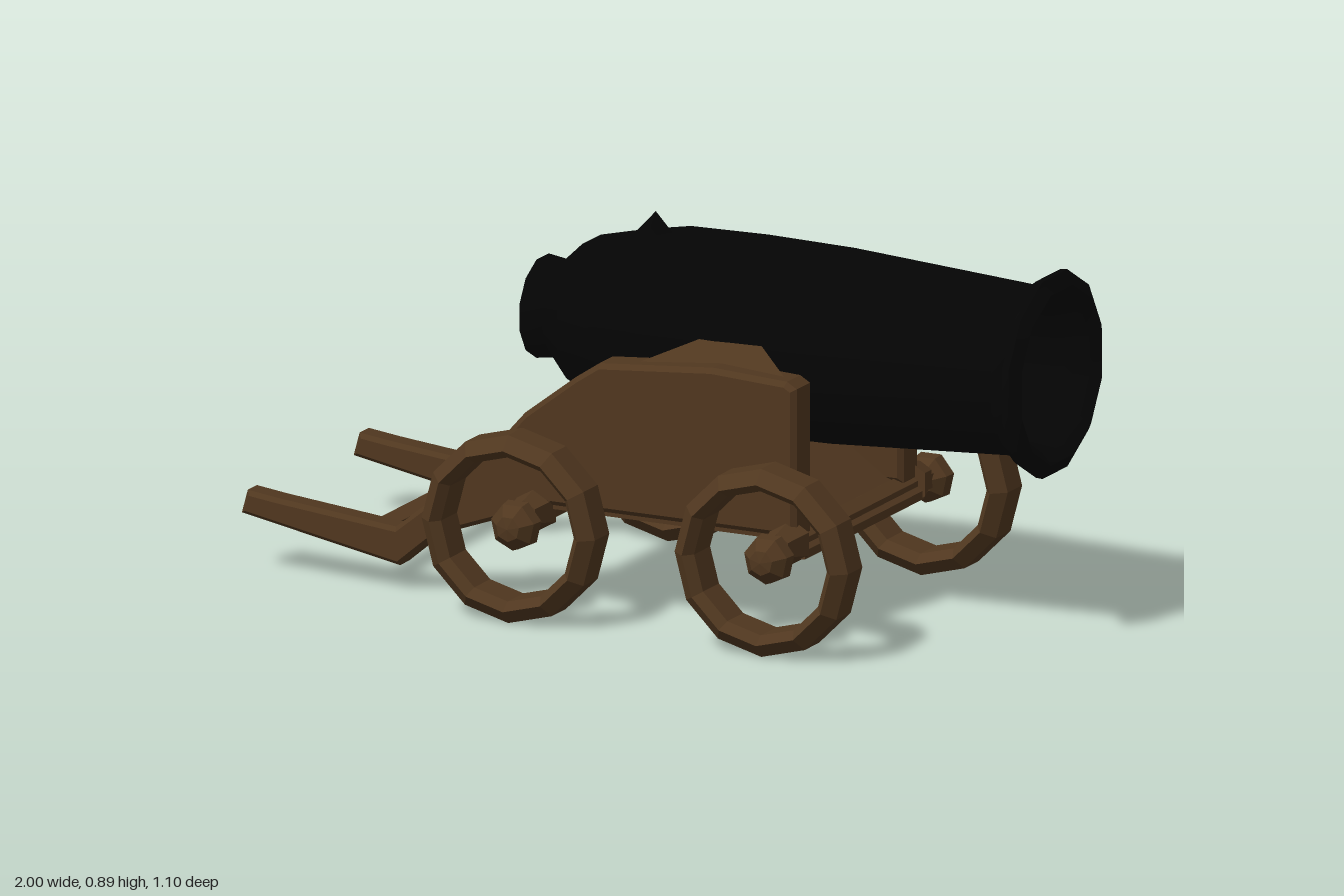
import * as THREE from 'three';
import { toCreasedNormals } from 'three/addons/utils/BufferGeometryUtils.js';
import { ConvexGeometry } from 'three/addons/geometries/ConvexGeometry.js';

const wood = new THREE.MeshStandardMaterial({ color: 0x50371f, flatShading: true });
const iron = new THREE.MeshStandardMaterial({ color: 0x040404 });
const points = (list) => list.map(([x, y]) => new THREE.Vector2(x, y));

function add(parent, name, geometry, material, x = 0, y = 0, z = 0) {
  const mesh = new THREE.Mesh(geometry, material);
  mesh.name = name;
  mesh.position.set(x, y, z);
  parent.add(mesh);
  return mesh;
}

// Side outline in x and y, given thickness centred on z
function slab(outline, thickness, bevel = 0) {
  const depth = thickness - 2 * bevel;
  return new THREE.ExtrudeGeometry(new THREE.Shape(points(outline)), {
    depth, bevelEnabled: bevel > 0, bevelSize: bevel, bevelOffset: -bevel,
    bevelThickness: bevel, bevelSegments: 1,
  }).translate(0, 0, -depth / 2);
}

// Rod along z
const rod = (r1, r2, length, sides) =>
  new THREE.CylinderGeometry(r1, r2, length, sides).rotateX(Math.PI / 2);

function buildBarrel(parent) {
  const barrel = new THREE.Group();
  barrel.name = 'barrel';
  barrel.position.y = 0.626;
  parent.add(barrel);

  // Outer profile from breech to muzzle, then back down the bore
  const profile = points([
    [0, -0.345], [0.08, -0.345], [0.095, -0.36], [0.12, -0.35], [0.112, -0.295],
    [0.178, -0.225], [0.205, -0.11], [0.225, 0], [0.229, 0.2], [0.225, 0.42],
    [0.196, 0.895], [0.24, 0.945], [0.241, 0.962], [0.208, 0.98], [0.184, 0.96],
    [0.163, 0.89], [0.153, 0.55], [0, 0.55],
  ]);
  // Turned half a facet so a flat side faces up
  const body = new THREE.LatheGeometry(profile, 12).rotateY(Math.PI / 12).rotateZ(-Math.PI / 2);
  add(barrel, 'barrelBody', toCreasedNormals(body, 0.6), iron);
  add(barrel, 'sight', new THREE.ConeGeometry(0.075, 0.08, 4), iron, -0.06, 0.219, 0);
}

function buildWheel(parent, x, side) {
  const wheel = new THREE.Group();
  wheel.name = 'wheel';
  wheel.position.set(x, 0.22, side * 0.4);
  parent.add(wheel);

  // Open chamfered rim
  const rim = points([
    [0.17, -0.04], [0.19, -0.064], [0.222, -0.036], [0.222, 0.036],
    [0.19, 0.064], [0.17, 0.04], [0.17, -0.04],
  ]);
  add(wheel, 'rim', new THREE.LatheGeometry(rim, 12).rotateX(Math.PI / 2), wood);

  // Faceted hub on the axle end
  const hub = points([[0, -0.045], [0.035, -0.045], [0.06, -0.015], [0.056, 0.015], [0.03, 0.04], [0, 0.045]]);
  add(wheel, 'hub', new THREE.LatheGeometry(hub, 7).rotateX(Math.PI / 2), wood);
}

function buildCarriage(parent) {
  const carriage = new THREE.Group();
  carriage.name = 'carriage';
  parent.add(carriage);

  const cheek = slab([
    [0.455, 0.25], [0.455, 0.6], [0.43, 0.615], [0.24, 0.625], [-0.05, 0.6], [-0.11, 0.56],
    [-0.24, 0.46], [-0.32, 0.37], [-0.3, 0.29], [-0.2, 0.25],
  ], 0.09, 0.012);
  const rail = slab([
    [-0.965, 0.135], [-0.56, 0.06], [-0.46, 0.145], [-0.2, 0.24], [-0.14, 0.4],
    [-0.27, 0.415], [-0.4, 0.3], [-0.49, 0.215], [-0.57, 0.15], [-0.87, 0.18], [-0.95, 0.19],
  ], 0.066, 0.01);
  // Tapered block from the cheek top up to the barrel flank
  const saddle = [
    [0, 0.59, 0.29], [0.44, 0.595, 0.29], [0.2, 0.68, 0.205], [0.3, 0.68, 0.205],
    [0.08, 0.5, 0.19], [0.4, 0.5, 0.19], [0.08, 0.5, 0.25], [0.4, 0.5, 0.25],
  ];
  for (const side of [-1, 1]) {
    add(carriage, 'cheek', cheek, wood, 0, 0, side * 0.268);
    add(carriage, 'trailRail', rail, wood, 0, 0, side * 0.28);
    const corners = saddle.map(([x, y, z]) => new THREE.Vector3(x, y, side * z));
    add(carriage, 'saddle', new ConvexGeometry(corners), wood);
  }

  // Bed sloping up beneath the barrel
  add(carriage, 'bed', slab([
    [0.475, 0.2], [0.475, 0.22], [0.2, 0.41], [-0.2, 0.41], [-0.28, 0.34],
    [-0.25, 0.24], [0.36, 0.24], [0.39, 0.2],
  ], 0.6), wood);

  // Cross bar of the trail
  add(carriage, 'crossBar', new THREE.BoxGeometry(0.058, 0.042, 0.55), wood, -0.66, 0.1, 0);

  // Axles with flared roots, and four wheels
  for (const x of [-0.215, 0.433]) {
    add(carriage, 'axle', rod(0.034, 0.034, 0.8, 6), wood, x, 0.225, 0);
    for (const side of [-1, 1]) {
      const root = rod(0.034, 0.055, 0.07, 6);
      if (side < 0) root.rotateY(Math.PI);
      add(carriage, 'axleRoot', root, wood, x, 0.235, side * 0.325);
      buildWheel(carriage, x, side);
    }
  }
}

export function createModel() {
  const model = new THREE.Group();
  model.name = 'cannon';
  const turned = new THREE.Group();
  turned.name = 'cannonAssembly';
  turned.position.z = -0.022;
  turned.rotation.y = -0.18;
  model.add(turned);
  buildBarrel(turned);
  buildCarriage(turned);
  return model;
}
